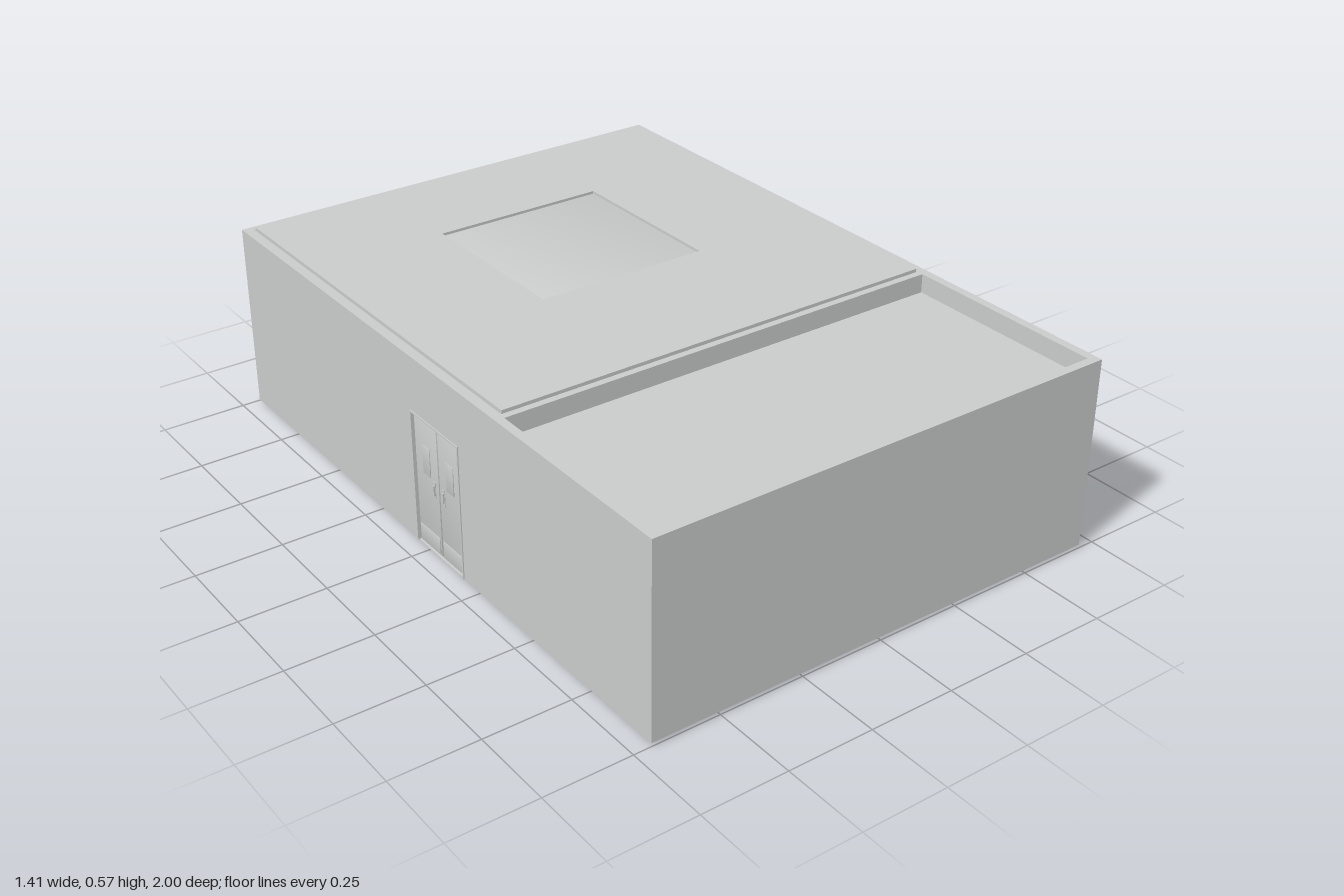
import * as THREE from 'three';

const T = 0.025;          // wall thickness
const BASE = 0.01;        // underside of the walls
const TOP = 0.565;        // top of the walls
const DOOR = 0.405;       // top of the doors
const BACK = -0.988;      // outer face of the back wall

export function createModel() {
  const model = new THREE.Group();
  model.name = 'building';
  const grey = new THREE.MeshStandardMaterial({ color: 0xc8cbc9 });
  grey.name = 'pale grey';

  function add(parent, name, geometry) {
    const mesh = new THREE.Mesh(geometry, grey);
    mesh.name = name;
    parent.add(mesh);
    return mesh;
  }

  // Box given by its limits along each axis
  function box(parent, name, x0, x1, y0, y1, z0, z1) {
    const g = new THREE.BoxGeometry(x1 - x0, y1 - y0, z1 - z0);
    g.translate((x0 + x1) / 2, (y0 + y1) / 2, (z0 + z1) / 2);
    return add(parent, name, g);
  }

  // Tilt the corner normals outward, giving a flat panel soft pillow shading
  function soften(mesh, tilt) {
    const g = mesh.geometry, p = g.attributes.position, n = g.attributes.normal;
    g.computeBoundingBox();
    const c = g.boundingBox.getCenter(new THREE.Vector3());
    const v = new THREE.Vector3(), m = new THREE.Vector3();
    for (let i = 0; i < p.count; i++) {
      v.fromBufferAttribute(p, i).sub(c);
      m.fromBufferAttribute(n, i);
      m.x += tilt * Math.sign(v.x);
      m.y += tilt * Math.sign(v.y);
      m.z += tilt * Math.sign(v.z);
      m.normalize();
      n.setXYZ(i, m.x, m.y, m.z);
    }
    return mesh;
  }

  function rectangle(Kind, u0, u1, v0, v1) {
    return new Kind([[u0, v0], [u1, v0], [u1, v1], [u0, v1]].map(([u, v]) => new THREE.Vector2(u, v)));
  }

  // Slab with rectangular holes, outer face at z = depth
  function pierced(u0, u1, v0, v1, holes, depth) {
    const shape = rectangle(THREE.Shape, u0, u1, v0, v1);
    holes.forEach((h) => shape.holes.push(rectangle(THREE.Path, ...h)));
    return new THREE.ExtrudeGeometry(shape, { depth, bevelEnabled: false });
  }

  // Wall in its own frame: u along the wall, local z pointing outdoors
  function wall(name, u0, u1, openings, angle, x, z) {
    const group = new THREE.Group();
    group.name = name;
    group.rotation.y = angle;
    group.position.set(x, 0, z);
    const holes = openings.map(([a, b]) => [a, b, BASE + 0.002, DOOR]);
    add(group, name + 'Panel', pierced(u0, u1, BASE, TOP, holes, T));
    model.add(group);
    return group;
  }

  // Thin trim round the sides and top of an opening
  function frame(parent, u0, u1) {
    const w = 0.005, z0 = T - 0.02, z1 = T + 0.003;
    box(parent, 'doorFrame', u0, u0 + w, BASE, DOOR, z0, z1);
    box(parent, 'doorFrame', u1 - w, u1, BASE, DOOR, z0, z1);
    box(parent, 'doorFrame', u0 + w, u1 - w, DOOR - w, DOOR, z0, z1);
  }

  // Leaf with vision panel, kick plate and handle; side gives the handle edge
  function leaf(parent, u0, u1, front, side) {
    const mid = (u0 + u1) / 2, w = u1 - u0;
    soften(box(parent, 'doorLeaf', u0, u1, BASE + 0.002, DOOR - 0.005, front - 0.012, front), 0.25);
    soften(box(parent, 'visionPanel', mid - w * 0.16, mid + w * 0.16, 0.235, 0.32, front, front + 0.002), 0.25);
    soften(box(parent, 'kickPlate', u0 + 0.006, u1 - 0.006, 0.018, 0.065, front, front + 0.002), 0.25);
    const h = side < 0 ? u0 + 0.02 : u1 - 0.02;
    box(parent, 'handlePlate', h - 0.005, h + 0.005, 0.18, 0.23, front, front + 0.002);
    box(parent, 'handle', h - 0.003, h + 0.003, 0.19, 0.22, front + 0.002, front + 0.006);
  }

  // Outer walls
  wall('frontWall', -0.7 + T, 0.7 - T, [], 0, 0, 1 - T);
  const rightWall = wall('leftSideWall', -1, -BACK, [[-0.145, 0.045]], Math.PI / 2, 0.7 - T, 0);
  const leftWall = wall('rightSideWall', BACK, 1, [[-0.05, 0.185]], -Math.PI / 2, -0.7 + T, 0);
  const backWall = wall('backWall', -0.7 + T, 0.7 - T, [[-0.57, -0.36], [0.31, 0.645]], Math.PI, 0, BACK + T);

  // Single doors
  frame(rightWall, -0.145, 0.045);
  leaf(rightWall, -0.14, 0.04, T - 0.007, -1);
  frame(backWall, -0.57, -0.36);
  leaf(backWall, -0.565, -0.365, T - 0.007, -1);

  // Side double door
  frame(leftWall, -0.05, 0.185);
  leaf(leftWall, -0.045, 0.064, T - 0.007, 1);
  leaf(leftWall, 0.07, 0.18, T - 0.007, -1);

  // Half-open sliding door with a fixed side panel
  frame(backWall, 0.31, 0.645);
  box(backWall, 'doorPost', 0.397, 0.405, BASE, DOOR, T - 0.015, T + 0.004);
  leaf(backWall, 0.405, 0.54, T, -1);
  box(backWall, 'doorPost', 0.54, 0.548, BASE, DOOR, T - 0.015, T + 0.004);
  soften(box(backWall, 'fixedPanel', 0.548, 0.64, BASE + 0.002, DOOR - 0.005, T - 0.02, T - 0.008), 0.25);

  // Small wall fitting between the back doors
  box(backWall, 'wallFitting', 0.085, 0.095, 0.352, 0.362, T, T + 0.012);

  // Partition, floors and base slabs
  const inner = 0.7 - T;
  box(model, 'partition', -inner, inner, BASE, TOP, 0.347, 0.37);
  box(model, 'backFloor', -inner, inner, BASE, BASE + 0.006, BACK + T, 0.347);
  box(model, 'frontFloor', -inner, inner, BASE, BASE + 0.006, 0.37, 1 - T);
  box(model, 'backBase', -0.67, 0.67, 0, BASE, -0.96, 0.345);
  box(model, 'frontBase', -0.67, 0.67, 0, BASE, 0.372, 0.97);

  // Sunken flat roof at the front
  box(model, 'sunkenRoof', -inner, inner, 0.495, 0.51, 0.37, 1 - T);

  // Main roof: ceiling deck and raised covering with a square opening
  box(model, 'roofDeck', -inner, inner, TOP - 0.025, TOP - 0.001, BACK + T, 0.347);
  const covering = add(model, 'roofCovering', pierced(-0.67, 0.67, -0.35, 0.96, [[-0.26, 0.26, 0.09, 0.61]], 0.011));
  covering.rotation.x = -Math.PI / 2;
  covering.position.y = TOP - 0.001;
  soften(box(model, 'roofLight', -0.26, 0.26, TOP - 0.004, TOP + 0.002, -0.61, -0.09), 0.22);

  return model;
}
